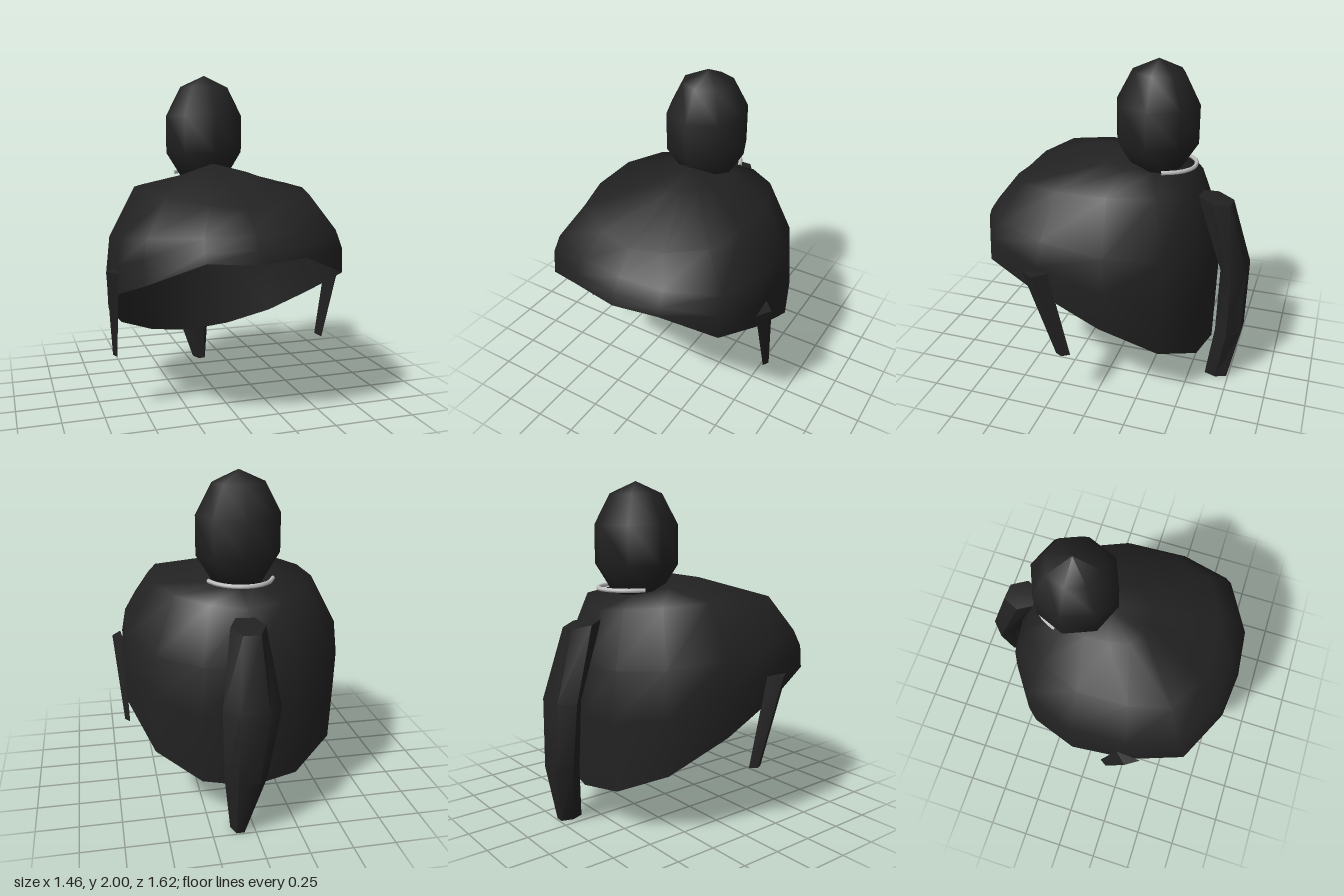
import * as THREE from 'three';
import { toCreasedNormals } from 'three/addons/utils/BufferGeometryUtils.js';

// Skin a stack of rings, listed bottom to top, each running front -> +x -> back -> -x.
function loft(rings, { bottom, top } = {}) {
  const n = rings[0].length;
  const pos = rings.flat(2);
  const index = [];
  for (let k = 0; k < rings.length - 1; k++) {
    for (let i = 0; i < n; i++) {
      const j = (i + 1) % n;
      const a = k * n + i, b = k * n + j, c = a + n, d = b + n;
      index.push(a, b, d, a, d, c);
    }
  }
  if (top) {
    const t = pos.length / 3, base = (rings.length - 1) * n;
    pos.push(...top);
    for (let i = 0; i < n; i++) index.push(base + i, base + (i + 1) % n, t);
  }
  if (bottom) {
    const t = pos.length / 3;
    pos.push(...bottom);
    for (let i = 0; i < n; i++) index.push((i + 1) % n, i, t);
  }
  const g = new THREE.BufferGeometry();
  g.setAttribute('position', new THREE.Float32BufferAttribute(pos, 3));
  g.setIndex(index);
  g.computeVertexNormals();
  return g;
}

export function createModel() {
  const group = new THREE.Group();
  const black = new THREE.MeshStandardMaterial({ color: 0x222222, side: THREE.DoubleSide });
  black.name = 'charcoal';
  const grey = new THREE.MeshStandardMaterial({ color: 0xc4c4c4 });
  grey.name = 'lightGrey';
  const add = (name, geometry, material = black) => {
    const mesh = new THREE.Mesh(geometry, material);
    mesh.name = name;
    group.add(mesh);
    return mesh;
  };

  // Hollow cloak: slanted rim, then rings narrowing to the neck
  const half = [
    [0, 0.98, 0.81], [0.28, 1.0, 0.78], [0.57, 0.87, 0.63], [0.66, 0.76, 0.32],
    [0.665, 0.58, -0.07], [0.53, 0.385, -0.39], [0.28, 0.26, -0.57], [0, 0.22, -0.61],
  ];
  const rim = [...half, ...half.slice(1, -1).reverse().map(([x, y, z]) => [-x, y, z])];
  // width, front z, back z, front y, back y, lift at the sides
  const levels = [
    [0.67, 0.79, -0.62, 1.06, 0.66, 0],
    [0.645, 0.74, -0.6, 1.13, 0.96, 0],
    [0.49, 0.62, -0.49, 1.25, 1.26, 0.07],
    [0.18, 0.22, -0.32, 1.41, 1.34, 0.02],
  ];
  const upper = levels.map(([w, zf, zb, yf, yb, lift]) => rim.map(([x, , z]) => {
    const t = (z + 0.61) / 1.42, s = x / 0.665;
    return [s * w, yb + (yf - yb) * t + lift * Math.abs(s), zb + (zf - zb) * t];
  }));
  add('cloak', loft([rim, ...upper], { top: [0, 1.46, -0.03] }));

  // Egg-shaped head with eight sides
  const profile = [[0, 1.31], [0.15, 1.36], [0.25, 1.52], [0.25, 1.75], [0.155, 1.93], [0, 2]];
  const head = add('head', new THREE.LatheGeometry(
    profile.map(([r, y]) => new THREE.Vector2(r, y)), 8));
  head.position.z = -0.218;

  // Grey band around the back of the neck
  const arc = [];
  for (let i = 0; i <= 6; i++) {
    const a = (i / 6 - 0.5) * 2.5;
    arc.push(new THREE.Vector3(Math.sin(a) * 0.2, 1.385, -0.218 - Math.cos(a) * 0.24));
  }
  add('neckBand', new THREE.TubeGeometry(new THREE.CatmullRomCurve3(arc), 12, 0.013, 5), grey);

  // Thin three-sided arms hanging at both sides
  const armRings = [
    [[0.66, 0.35, 0.2], [0.68, 0.35, 0.16], [0.65, 0.35, 0.115]],
    [[0.675, 0.89, 0.385], [0.73, 0.89, 0.3], [0.665, 0.89, 0.23]],
  ];
  for (const side of [1, -1]) {
    const rings = armRings.map((ring) => {
      const r = ring.map(([x, y, z]) => [x * side, y, z]);
      return side > 0 ? r : r.reverse();
    });
    add(side > 0 ? 'leftArm' : 'rightArm', toCreasedNormals(
      loft(rings, { bottom: [0.663 * side, 0.35, 0.158], top: [0.69 * side, 0.89, 0.305] }), 0.6));
  }

  // Bent hanging tail: centre x, y, centre z, half width, half depth, tilt of the section
  const tailRings = [
    [0.09, 0, -0.67, 0.047, 0.07, 0],
    [0.055, 0.35, -0.73, 0.125, 0.08, 0],
    [0.025, 0.77, -0.735, 0.165, 0.077, 0],
    [0.02, 1.2, -0.59, 0.1, 0.1, 0.02],
  ].map(([cx, cy, cz, w, d, tilt]) => [0, 1, 2, 3, 4, 5].map((i) => {
    const a = (i + 0.5) * Math.PI / 3;
    const c = Math.cos(a) / Math.cos(Math.PI / 6);
    return [cx + Math.sin(a) * w, cy + c * tilt, cz + c * d];
  }));
  add('tail', toCreasedNormals(
    loft(tailRings, { bottom: [0.09, 0, -0.67], top: [0.02, 1.21, -0.59] }), 0.9));

  return group;
}
